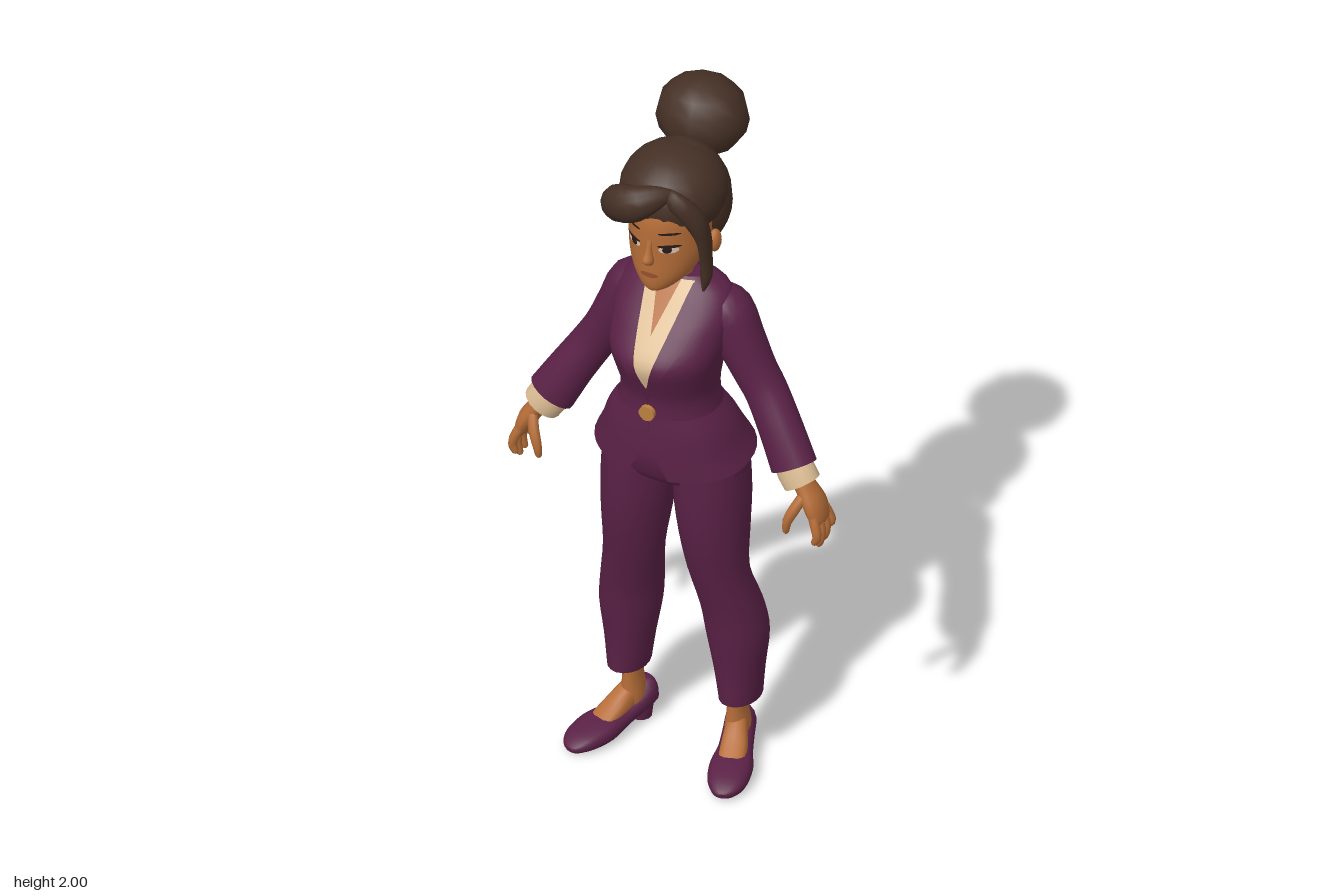
import * as THREE from 'three';

const mat = (name, color, side = THREE.FrontSide) => {
  const m = new THREE.MeshStandardMaterial({ color, side });
  m.name = name;
  return m;
};

// Catmull-Rom refinement of a list of number rows
function refine(rows, k = 3) {
  const out = [], n = rows.length, at = i => rows[Math.max(0, Math.min(n - 1, i))];
  for (let i = 0; i < n - 1; i++) for (let j = 0; j < k; j++) {
    const t = j / k;
    out.push(rows[i].map((b, c) => {
      const a = at(i - 1)[c], d = at(i + 1)[c], e = at(i + 2)[c];
      return b + 0.5 * t * (d - a + t * (2 * a - 5 * b + 4 * d - e + t * (3 * (b - d) + e - a)));
    }));
  }
  out.push(rows[n - 1]);
  return out;
}

// Skin over sections [x, y, z, halfWidth, halfDepth, tilt, frontGap]
function loft(rows, { flat = false, ref = [0, 0, 1], n = 16, pow = 2, smooth = 3, open = false } = {}) {
  const S = refine(rows, smooth), pos = [], idx = [], cols = open ? n + 1 : n;
  const R = new THREE.Vector3(...ref), C = S.map(s => new THREE.Vector3(s[0], s[1], s[2]));
  const e = 2 / pow, sp = v => Math.sign(v) * Math.abs(v) ** e;
  C.forEach((c, i) => {
    const T = C[Math.min(i + 1, C.length - 1)].clone().sub(C[Math.max(i - 1, 0)]);
    if (flat) T.set(0, Math.sign(T.y), 0);
    T.normalize();
    const u = T.clone().cross(R).normalize(), v = u.clone().cross(T);
    const [, , , a, b, tilt = 0, gap = 0] = S[i];
    for (let j = 0; j < cols; j++) {
      const t = Math.PI / 2 + gap + (j / n) * (2 * Math.PI - 2 * gap);
      const p = c.clone().addScaledVector(u, a * sp(Math.cos(t))).addScaledVector(v, b * sp(Math.sin(t)));
      p.y -= tilt * (p.z - c.z);
      pos.push(p.x, p.y, p.z);
    }
  });
  for (let i = 0; i < S.length - 1; i++) for (let j = 0; j < n; j++) {
    const k = (j + 1) % cols, a = i * cols + j, b = i * cols + k;
    idx.push(a, a + cols, b, b, a + cols, b + cols);
  }
  // End caps with their own corners
  if (!open) for (const end of [0, S.length - 1]) {
    const base = pos.length / 3;
    pos.push(...C[end].toArray(), ...pos.slice(end * n * 3, (end + 1) * n * 3));
    for (let j = 0; j < n; j++) {
      const a = base + 1 + j, b = base + 1 + (j + 1) % n;
      idx.push(base, end ? b : a, end ? a : b);
    }
  }
  return build(pos, idx);
}

function build(pos, idx) {
  const g = new THREE.BufferGeometry();
  g.setAttribute('position', new THREE.Float32BufferAttribute(pos, 3));
  g.setIndex(idx);
  g.computeVertexNormals();
  return g;
}

// Body tables: [height, half width, front z, back z]
const CHEST = [[1.09, .155, .19, -.05], [1.13, .14, .19, -.045], [1.19, .13, .19, -.042], [1.25, .14, .21, -.045],
  [1.315, .153, .227, -.055], [1.38, .162, .185, -.062], [1.44, .165, .135, -.06], [1.49, .14, .095, -.05], [1.52, .085, .07, -.025]];
const FACE = [[1.533, .025, .18, .11], [1.548, .05, .189, .07], [1.585, .083, .193, .01], [1.64, .104, .193, -.04],
  [1.70, .11, .194, -.07], [1.76, .11, .19, -.08], [1.83, .09, .165, -.06]];
const toSections = t => t.map(([y, w, f, b]) => [0, y, (f + b) / 2, w, (f - b) / 2]);

// Thin plate following the front of a body table
function patch(table, pow, y0, y1, xl, xr, off, rows = 14, cols = 8) {
  const S = refine(toSections(table)), pos = [], idx = [];
  for (let i = 0; i <= rows; i++) {
    const y = y0 + (y1 - y0) * i / rows;
    let k = 0;
    while (k < S.length - 2 && S[k + 1][1] < y) k++;
    const t = (y - S[k][1]) / (S[k + 1][1] - S[k][1]);
    const [c, a, b] = [2, 3, 4].map(q => S[k][q] + t * (S[k + 1][q] - S[k][q]));
    for (let j = 0; j <= cols; j++) {
      const x = xl(y) + (xr(y) - xl(y)) * j / cols;
      pos.push(x, y, c + b * Math.max(0, 1 - Math.abs(x / a) ** pow) ** (1 / pow) + off);
      if (i < rows && j < cols) {
        const p = i * (cols + 1) + j, q = p + cols + 1;
        idx.push(p, p + 1, q, p + 1, q + 1, q);
      }
    }
  }
  return build(pos, idx);
}

export function createModel() {
  const root = new THREE.Group();
  const suit = mat('suit purple', 0x5a2146, THREE.DoubleSide), skin = mat('skin', 0xb56d38), hair = mat('hair brown', 0x453025);
  const cream = mat('blouse cream', 0xdcbd94, THREE.DoubleSide), dark = mat('eye dark', 0x2a1a16);
  const white = mat('eye white', 0xd8c4b4), gold = mat('button gold', 0xbd8040), lip = mat('lips', 0x96502f);
  const add = (name, geo, m, parent = root) => {
    const mesh = new THREE.Mesh(geo, m);
    mesh.name = name;
    parent.add(mesh);
    return mesh;
  };
  const ball = (name, m, p, r, w = 20, h = 14) =>
    add(name, new THREE.SphereGeometry(1, w, h).scale(...r).translate(...p), m);

  // Jacket body, peplum with a notch at the front, collar
  add('jacket', loft(toSections(CHEST), { flat: true, n: 28, pow: 2.2 }), suit);
  add('peplum', loft([[0, 1.14, .073, .139, .121, 0, 0], [0, 1.09, .064, .172, .136, .05, .02],
    [0, 1.03, .054, .196, .15, .12, .12], [0, .982, .045, .22, .16, .17, .24]], { flat: true, n: 32, pow: 2.2, open: true }), suit);
  add('collar', new THREE.TorusGeometry(.078, .017, 8, 20, Math.PI).scale(1, .75, 1).rotateX(-Math.PI / 2 + .12).translate(0, 1.515, .035), suit);

  // Blouse, open neck and lapels
  const vee = y => .068 * Math.max(0, (y - 1.235) / .28) ** .75;
  const neckline = y => .034 * Math.max(0, (y - 1.39) / .125);
  add('blouse', patch(CHEST, 2.2, 1.235, 1.515, y => -vee(y), vee, .004), cream);
  add('openNeck', patch(CHEST, 2.2, 1.39, 1.515, y => -neckline(y), neckline, .008), skin);
  const lapel = y => vee(y) + .055 * Math.min(1, (y - 1.18) / .2) * (y > 1.43 ? (1.515 - y) / .085 : 1);
  add('leftLapel', patch(CHEST, 2.2, 1.18, 1.513, vee, lapel, .012, 24), suit);
  add('rightLapel', patch(CHEST, 2.2, 1.18, 1.513, y => -lapel(y), y => -vee(y), .012, 24), suit);
  add('button', new THREE.CylinderGeometry(.022, .022, .014, 14).rotateX(Math.PI / 2).translate(-.005, 1.15, .194), gold);

  // Hips
  add('hips', loft([[0, 1.12, .06, .13, .1], [0, 1.0, .045, .185, .125], [0, .94, .04, .203, .12], [0, .9, .04, .17, .1], [0, .885, .04, .1, .06]],
    { flat: true, n: 24, pow: 2.2 }), suit);

  for (const s of [1, -1]) {
    const side = s > 0 ? 'left' : 'right';
    const limb = (name, rows, m, opt, parent) =>
      add(side + name, loft(rows.map(([x, ...r]) => [s * x, ...r]), opt), m, parent);

    // Trouser leg and ankle
    limb('TrouserLeg', [[.104, .97, .04, .095, .115], [.107, .85, .042, .1, .113], [.114, .73, .046, .092, .1], [.124, .61, .042, .082, .08],
      [.147, .48, .008, .084, .085], [.157, .39, -.003, .083, .085], [.161, .28, -.005, .066, .075], [.164, .19, -.006, .054, .073]], suit, { flat: true, n: 18 });
    limb('Ankle', [[.155, .22, -.012, .03, .042], [.154, .15, -.008, .025, .038], [.154, .09, -.01, .032, .045], [.154, .05, -.01, .03, .045]], skin, { flat: true, n: 14 });

    // Shoe, turned outward
    const shoe = new THREE.Group();
    shoe.name = side + 'Foot';
    shoe.position.set(s * .154, 0, -.012);
    shoe.rotation.y = s * .31;
    root.add(shoe);
    const along = { ref: [0, 1, 0], n: 16, pow: 2.5 };
    limb('Instep', [[0, .1, -.01, .025, .04], [0, .083, .03, .031, .036], [.002, .063, .075, .036, .026], [.002, .045, .12, .036, .018]], skin, along, shoe);
    limb('Shoe', [[0, .08, -.063, .026, .033], [0, .075, -.045, .04, .04], [0, .055, 0, .043, .03], [.002, .04, .06, .047, .027],
      [.003, .031, .125, .058, .031], [.002, .024, .19, .05, .024], [0, .017, .225, .03, .014], [0, .015, .236, .012, .007]], suit, along, shoe);
    add(side + 'Heel', new THREE.CylinderGeometry(.037, .03, .06, 12).translate(0, .03, -.025), suit, shoe);

    // Sleeve and cuff
    limb('Sleeve', [[.1, 1.45, .015, .04, .055], [.138, 1.418, .015, .066, .07], [.172, 1.34, .015, .066, .068], [.215, 1.255, .015, .06, .06],
      [.255, 1.19, .018, .058, .058], [.31, 1.1, .04, .061, .056], [.356, 1.018, .06, .066, .053]], suit, { n: 18 });
    limb('Cuff', [[.345, 1.035, .058, .052, .044], [.364, 1.005, .062, .055, .046], [.382, .977, .064, .054, .045]], cream, { n: 16, smooth: 1 });

    // Hand
    limb('Palm', [[.372, 1.0, .064, .027, .03], [.395, .965, .065, .026, .036], [.42, .925, .066, .026, .045], [.436, .885, .066, .019, .043], [.44, .872, .066, .011, .036]], skin, { n: 14 });
    [[.027, .835], [.054, .808], [.081, .803], [.106, .822]].forEach(([z, tip], i) =>
      limb('Finger' + (i + 1), [[.432, .9, .066 + (z - .066) * .85, .013, .012], [.446, .865, z, .013, .013],
        [.447, (.865 + tip) / 2, z, .012, .012], [.439, tip + .005, z, .009, .009], [.437, tip, z, .003, .003]], skin, { n: 8, smooth: 2 }));
    limb('Thumb', [[.4, .955, .088, .014, .014], [.383, .918, .112, .015, .014], [.368, .882, .122, .013, .012], [.364, .85, .12, .009, .009], [.364, .843, .119, .003, .003]], skin, { n: 8, smooth: 2 });

    // Ear, eye and brow
    ball(side + 'Ear', skin, [s * .117, 1.65, .048], [.016, .034, .022], 12, 8);
    const oval = (name, m, cx, cy, w, h, off) => {
      const half = y => w * Math.sqrt(Math.max(0, 1 - ((y - cy) / h) ** 2));
      add(side + name, patch(FACE, 2, cy - h, cy + h, y => s * cx - half(y), y => s * cx + half(y), off, 10, 6), m);
    };
    oval('EyeWhite', white, .05, 1.678, .023, .012, .002);
    oval('Iris', dark, .048, 1.679, .011, .011, .004);
    oval('Lash', dark, .052, 1.69, .027, .005, .005);
    oval('Brow', dark, .052, 1.728, .026, .004, .004);
  }

  // Head, neck, nose and mouth
  add('neck', loft([[0, 1.44, .03, .056, .05], [0, 1.5, .035, .046, .044], [0, 1.55, .05, .045, .045], [0, 1.62, .06, .05, .05]], { flat: true }), skin);
  add('face', loft(toSections(FACE), { flat: true, n: 28 }), skin);
  add('nose', loft([[0, 1.70, .19, .008, .007], [0, 1.665, .196, .01, .012], [0, 1.642, .2, .016, .019], [0, 1.628, .195, .012, .01]], { flat: true, n: 10 }), skin);
  const lips = y => .026 * Math.sqrt(Math.max(0, 1 - ((y - 1.592) / .008) ** 2));
  add('mouth', patch(FACE, 2, 1.584, 1.6, y => -lips(y), lips, .003, 8, 6), lip);

  // Hair: back, crown, bun, swept fringe and one loose lock
  ball('backHair', hair, [-.004, 1.73, -.004], [.134, .163, .111]);
  ball('crownHair', hair, [-.008, 1.775, .04], [.142, .123, .15]);
  ball('bun', hair, [-.021, 1.89, -.143], [.127, .112, .114], 11, 8);
  add('rightFringe', loft([[.05, 1.845, .16, .012, .012], [.02, 1.838, .182, .032, .026], [-.035, 1.815, .207, .05, .044],
    [-.09, 1.782, .182, .054, .045], [-.127, 1.735, .14, .036, .036], [-.135, 1.69, .115, .018, .022], [-.132, 1.665, .105, .004, .006]], { n: 14 }), hair);
  add('leftFringeLock', loft([[.035, 1.845, .16, .012, .012], [.07, 1.825, .168, .03, .025], [.105, 1.775, .145, .03, .032],
    [.124, 1.71, .125, .018, .03], [.126, 1.64, .115, .015, .025], [.125, 1.575, .112, .015, .018], [.118, 1.53, .115, .003, .004]], { n: 12 }), hair);

  return root;
}
